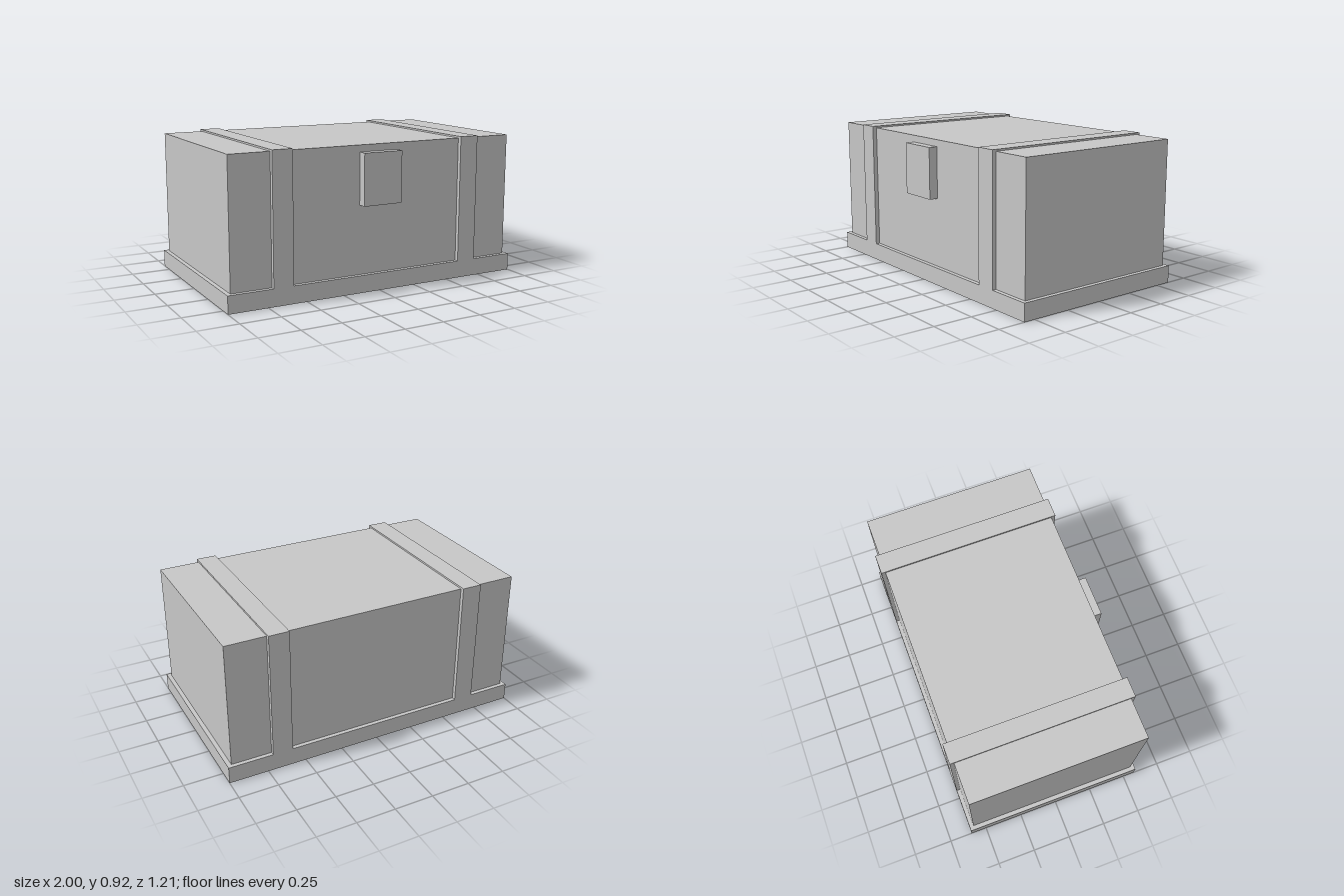
import * as THREE from 'three';

// Box given by its extents; its bottom face is left out to form an open shell
function openBox(x0, x1, y0, y1, z0, z1) {
  const g = new THREE.BoxGeometry(x1 - x0, y1 - y0, z1 - z0);
  const index = Array.from(g.index.array);
  index.splice(18, 6); // face order: +x, -x, +y, -y, +z, -z
  g.setIndex(index);
  g.clearGroups();
  g.translate((x0 + x1) / 2, (y0 + y1) / 2, (z0 + z1) / 2);
  return g;
}

export function createModel() {
  const group = new THREE.Group();
  const grey = new THREE.MeshStandardMaterial({ color: 0xc7c7c7, side: THREE.DoubleSide });
  grey.name = 'lightGrey';

  const add = (name, geometry) => {
    const mesh = new THREE.Mesh(geometry, grey);
    mesh.name = name;
    group.add(mesh);
  };

  // Plinth, hollow underneath
  add('plinth', openBox(-1, 1, 0, 0.11, -0.603, 0.574));

  // Chest body, its walls reaching down inside the plinth
  add('body', openBox(-0.973, 0.973, 0.055, 0.908, -0.577, 0.547));

  // Two straps wrapping the chest from the ground up
  for (const side of [-1, 1]) {
    const a = side * 0.586, b = side * 0.715;
    add(side > 0 ? 'leftStrap' : 'rightStrap',
      openBox(Math.min(a, b), Math.max(a, b), 0, 0.919, -0.603, 0.574));
  }

  // Lock plate on the front
  const lock = new THREE.BoxGeometry(0.262, 0.322, 0.06);
  lock.translate(0, 0.704, 0.573);
  add('lock', lock);

  return group;
}
